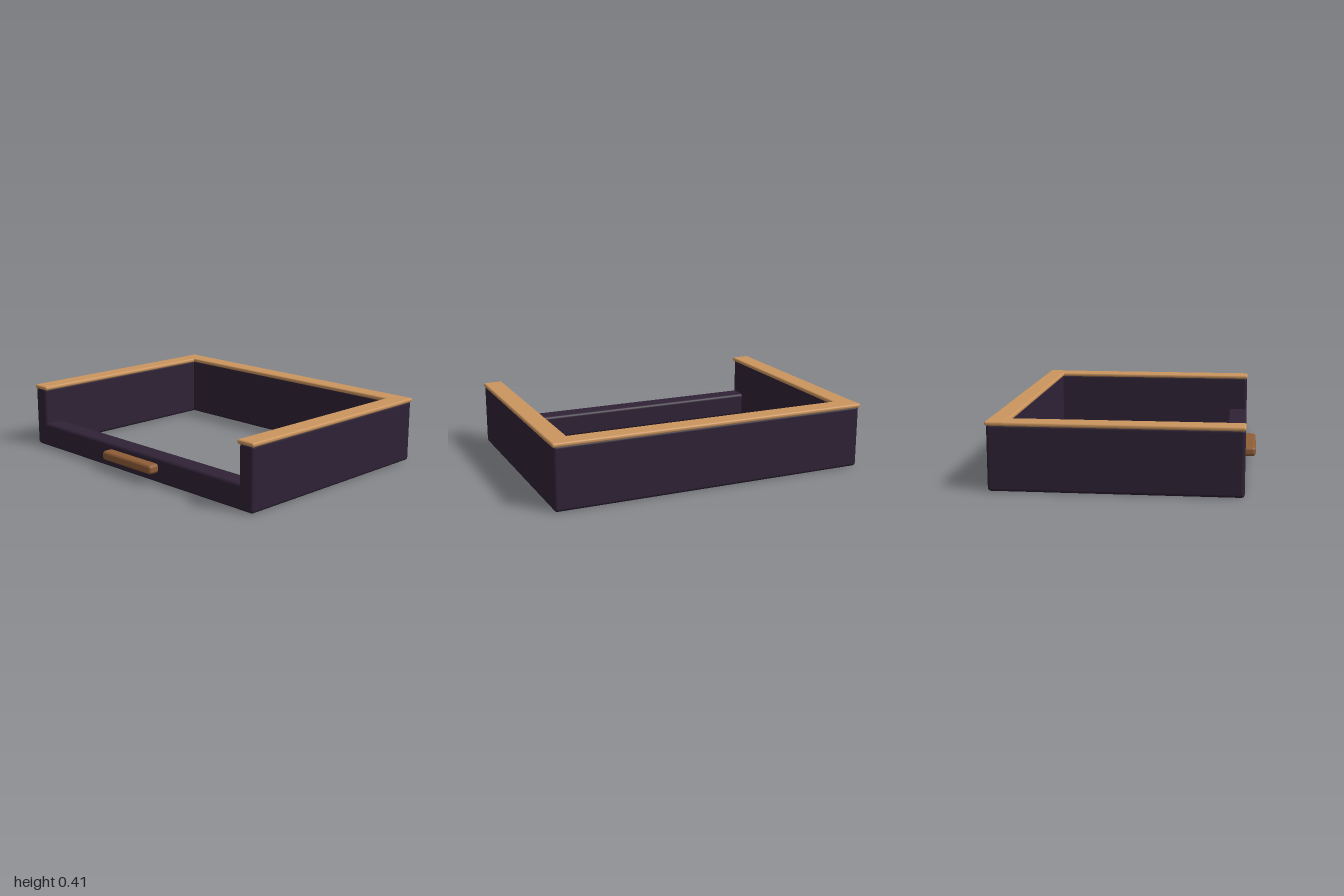
import * as THREE from 'three';
import { RoundedBoxGeometry } from 'three/addons/geometries/RoundedBoxGeometry.js';

function material(name, color) {
  const m = new THREE.MeshStandardMaterial({ color });
  m.name = name;
  return m;
}

export function createModel() {
  const group = new THREE.Group();
  group.name = 'openTray';
  const plum = material('dark plum', 0x2f2236);
  const wood = material('light wood', 0xcb955e);
  const brown = material('brown wood', 0x8f5d37);

  // Rounded block given by its minimum and maximum corners
  function block(name, mat, min, max, radius) {
    const size = max.map((v, i) => v - min[i]);
    const mesh = new THREE.Mesh(new RoundedBoxGeometry(...size, 4, radius), mat);
    mesh.position.set(...max.map((v, i) => (v + min[i]) / 2));
    mesh.name = name;
    group.add(mesh);
  }

  // Side walls and their top rails
  for (const [side, s] of [['left', 1], ['right', -1]]) {
    const span = (a, b) => (s > 0 ? [a, b] : [-b, -a]);
    const [w0, w1] = span(0.89, 0.994);
    block(side + 'Wall', plum, [w0, 0, -0.757], [w1, 0.39, 0.7], 0.02);
    const [r0, r1] = span(0.876, 1);
    block(side + 'Rail', wood, [r0, 0.38, -0.66], [r1, 0.406, 0.702], 0.011);
  }

  // Back wall with its rail, and the low front wall
  block('backWall', plum, [-0.994, 0, -0.757], [0.994, 0.39, -0.653], 0.02);
  block('backRail', wood, [-1, 0.381, -0.764], [1, 0.407, -0.643], 0.011);
  block('frontWall', plum, [-0.994, 0, 0.568], [0.994, 0.155, 0.7], 0.02);

  // Pull handle on the front
  block('handle', brown, [-0.226, 0.062, 0.68], [0.226, 0.12, 0.764], 0.02);

  return group;
}
